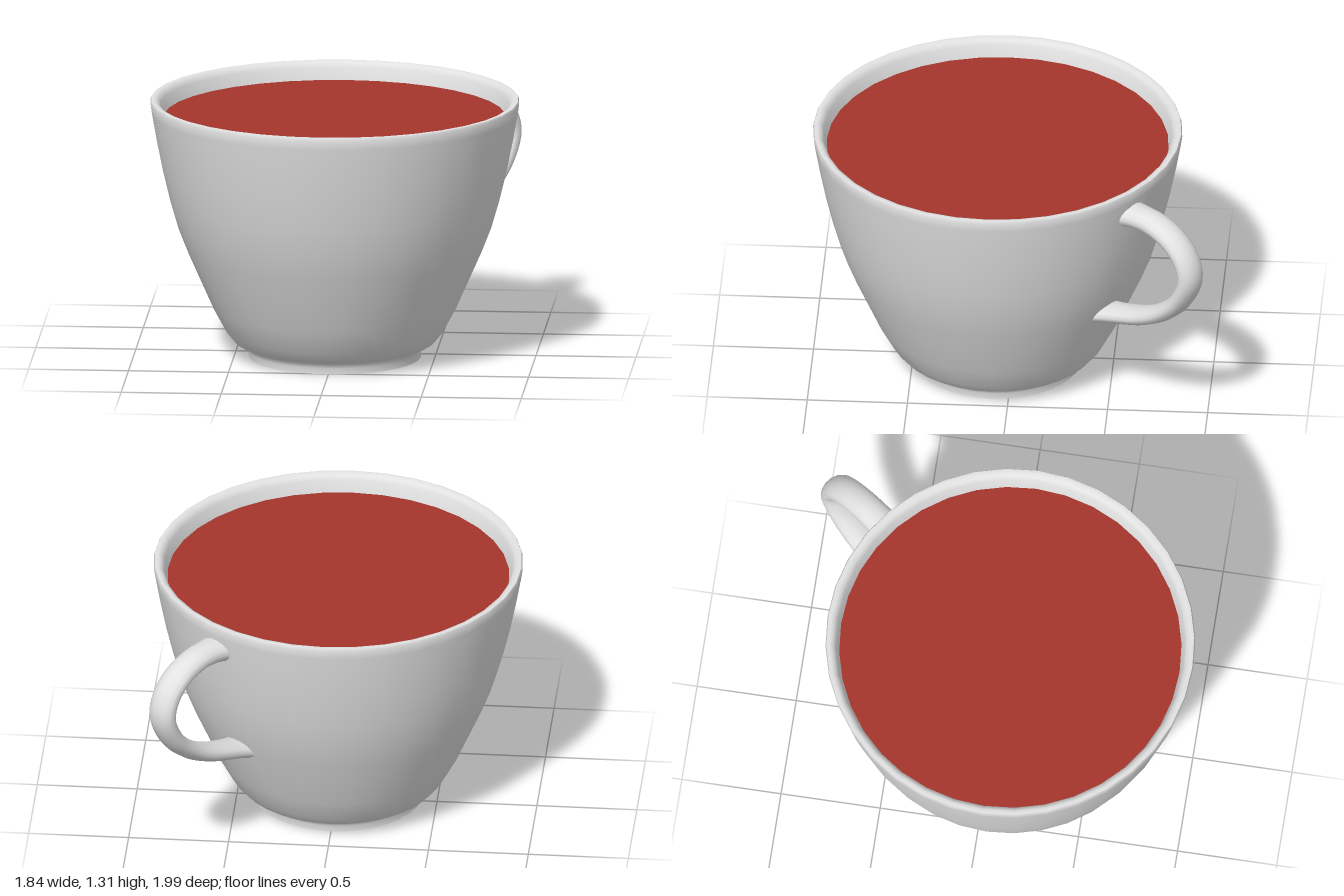
import * as THREE from 'three';
import { mergeVertices, toCreasedNormals } from 'three/addons/utils/BufferGeometryUtils.js';

const SIDES = 36;
const BOWL_Z = 0.08;

const china = new THREE.MeshStandardMaterial({ color: 0xe2e2e2 });
china.name = 'china';
const tea = new THREE.MeshStandardMaterial({ color: 0xa5352d });
tea.name = 'tea';

function addMesh(parent, name, geometry, material) {
  const mesh = new THREE.Mesh(geometry, material);
  mesh.name = name;
  parent.add(mesh);
  return mesh;
}

function lathe(pairs) {
  return new THREE.LatheGeometry(pairs.map(([r, y]) => new THREE.Vector2(r, y)), SIDES);
}

// Swept loop in the local XY plane, oval in section and flared where it meets the bowl
function handleGeometry() {
  const path = new THREE.CatmullRomCurve3([
    [0.865, 1.165], [0.95, 1.172], [1.05, 1.168], [1.17, 1.125], [1.255, 1.045], [1.285, 0.94],
    [1.225, 0.8], [1.12, 0.695], [0.99, 0.62], [0.86, 0.575], [0.71, 0.535],
  ].map(([x, y]) => new THREE.Vector3(x, y, 0)));
  const rings = 44, around = 14;
  const tube = new THREE.TubeGeometry(path, rings, 1, around);
  const pos = tube.attributes.position;
  for (let i = 0; i <= rings; i++) {
    const t = i / rings;
    const centre = path.getPointAt(t);
    const flare = Math.exp(-t * 28) + Math.exp(-(1 - t) * 18);
    const thick = THREE.MathUtils.lerp(0.056, 0.042, t) * (1 + 0.15 * flare);
    const wide = 0.078 * (1 + 0.3 * flare);
    for (let j = 0; j <= around; j++) {
      const k = i * (around + 1) + j;
      pos.setXYZ(k,
        centre.x + (pos.getX(k) - centre.x) * thick,
        centre.y + (pos.getY(k) - centre.y) * thick,
        pos.getZ(k) * wide);
    }
  }
  // Weld the seam so the shading runs smoothly round the section
  tube.deleteAttribute('uv');
  tube.deleteAttribute('normal');
  const welded = mergeVertices(tube);
  welded.computeVertexNormals();
  return welded;
}

export function createModel() {
  const cup = new THREE.Group();
  cup.name = 'cup';
  const body = new THREE.Group();
  body.name = 'body';
  body.position.z = BOWL_Z;
  cup.add(body);

  // Foot ring with a concave flare up to the bowl
  const foot = lathe([[0.43, 0], [0.43, 0.03], [0.44, 0.052], [0.46, 0.067], [0.485, 0.073]]);
  addMesh(body, 'foot', foot, china);
  const base = addMesh(body, 'base', new THREE.CircleGeometry(0.43, SIDES), china);
  base.rotation.x = Math.PI / 2;

  // Outer wall, rounded rim and inner wall in one profile
  const bowl = lathe([
    [0.485, 0.073], [0.503, 0.085], [0.54, 0.13], [0.605, 0.25], [0.68, 0.42], [0.733, 0.54],
    [0.782, 0.665], [0.824, 0.81], [0.86, 0.96], [0.892, 1.12], [0.915, 1.25], [0.922, 1.298],
    [0.917, 1.31], [0.9, 1.312], [0.882, 1.303], [0.87, 1.28], [0.848, 1.2], [0.8, 0.95],
    [0.72, 0.66], [0.56, 0.28], [0.44, 0.14], [0, 0.12],
  ]);
  addMesh(body, 'bowl', toCreasedNormals(bowl, 0.95), china);

  // Drink surface
  const drink = addMesh(body, 'drink', new THREE.CircleGeometry(0.854, SIDES), tea);
  drink.rotation.x = -Math.PI / 2;
  drink.position.y = 1.22;

  // Handle, turned toward the back left
  const handle = addMesh(body, 'handle', handleGeometry(), china);
  handle.rotation.y = 0.906;

  return cup;
}
